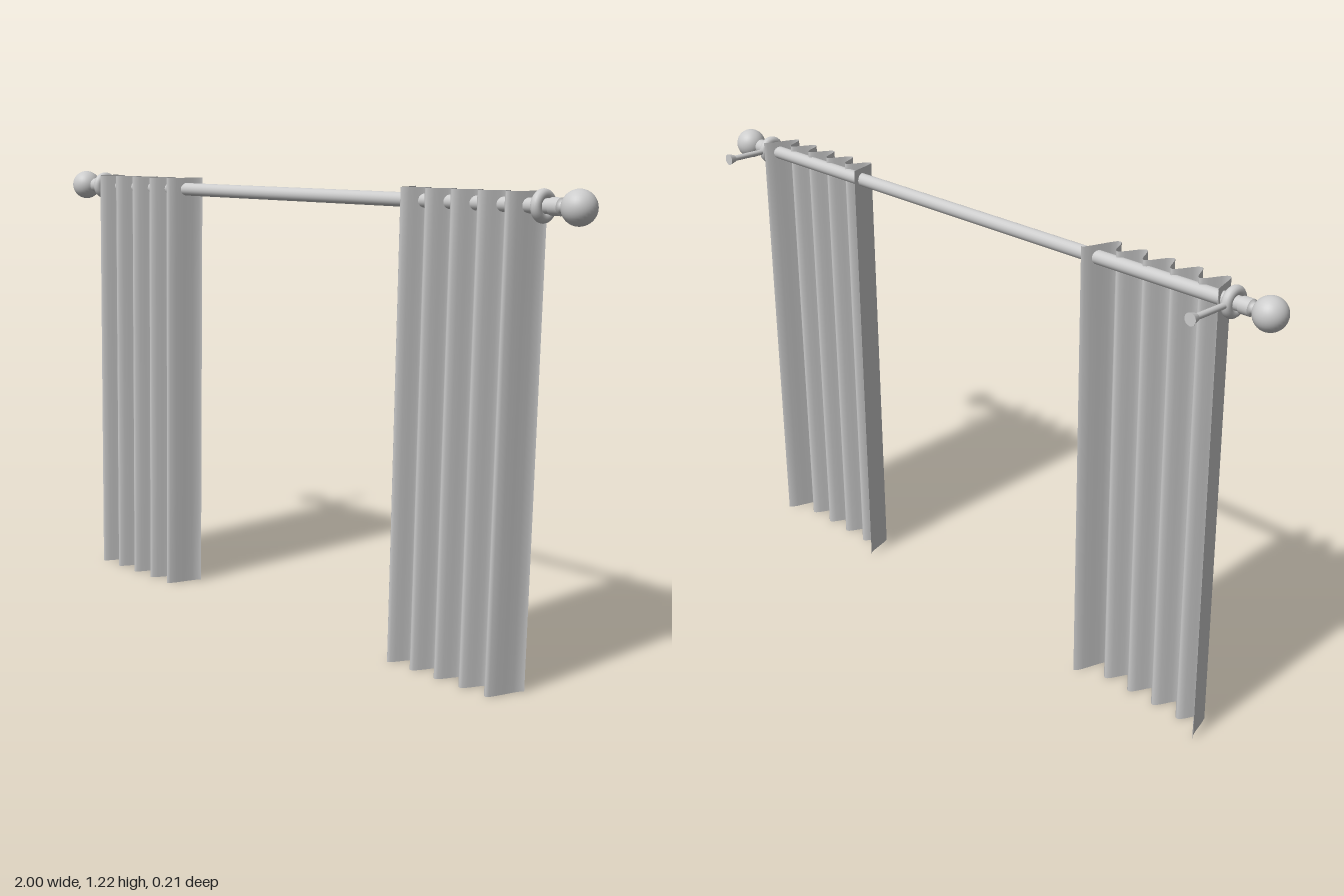
import * as THREE from 'three';

const ROD_Y = 1.18, ROD_Z = 0.05;
const PANEL_W = 0.415, PANEL_H = 1.213, FOLDS = 5, LEAN = 0.03;

const grey = new THREE.MeshStandardMaterial({ color: 0xcccccc });
const cloth = new THREE.MeshStandardMaterial({ color: 0xcccccc, side: THREE.DoubleSide });

function addMesh(parent, name, geometry, material = grey) {
  const mesh = new THREE.Mesh(geometry, material);
  mesh.name = name;
  parent.add(mesh);
  return mesh;
}

// Depth of the folds across the cloth; the two outer hems reach behind the rod
function foldDepth(u) {
  const t = u * FOLDS;
  const outer = t < 0.5 || t > FOLDS - 0.5;
  const back = outer ? 0.008 : 0.044;
  const front = 0.105;
  return back + (front - back) * (0.5 - 0.5 * Math.cos(t * Math.PI * 2));
}

// Pleated sheet that leans sideways towards its lower hem
function panelGeometry(x0) {
  const geo = new THREE.PlaneGeometry(1, 1, FOLDS * 12, 4);
  const p = geo.attributes.position;
  for (let i = 0; i < p.count; i++) {
    const u = p.getX(i) + 0.5, v = p.getY(i) + 0.5;
    p.setXYZ(i, x0 + u * PANEL_W - LEAN * (1 - v), v * PANEL_H, foldDepth(u));
  }
  geo.computeVertexNormals();
  return geo;
}

// Solid turned around the x axis from [radius, x] points
function turnedX(points) {
  const geo = new THREE.LatheGeometry(points.map(([r, x]) => new THREE.Vector2(r, x)), 24);
  return geo.rotateZ(-Math.PI / 2);
}

// Holder, collar and ball at one end of the rod
function rodEnd(side) {
  const end = new THREE.Group();
  end.name = side > 0 ? 'leftRodEnd' : 'rightRodEnd';
  end.position.set(0, ROD_Y, ROD_Z);
  if (side < 0) end.rotation.y = Math.PI;

  addMesh(end, 'finialBall', new THREE.SphereGeometry(0.042, 32, 20)).position.x = 0.958;
  addMesh(end, 'finialCollar', turnedX([
    [0, 0.882], [0.021, 0.882], [0.021, 0.882], [0.021, 0.908], [0.021, 0.908],
    [0.014, 0.912], [0.013, 0.925],
  ]));

  const bracket = new THREE.Group();
  bracket.name = 'wallBracket';
  bracket.position.x = 0.857;
  bracket.rotation.y = side < 0 ? Math.PI : 0;
  end.add(bracket);
  const ring = addMesh(bracket, 'bracketRing', new THREE.TorusGeometry(0.027, 0.013, 14, 32));
  ring.rotation.y = Math.PI / 2;

  // Arm runs back to a flared foot against the wall
  const arm = addMesh(bracket, 'bracketArm', new THREE.CylinderGeometry(0.008, 0.008, 0.112, 16));
  arm.rotation.x = Math.PI / 2;
  arm.position.z = -0.084;
  const foot = addMesh(bracket, 'bracketFoot', new THREE.CylinderGeometry(0.01, 0.016, 0.02, 16));
  foot.rotation.x = Math.PI / 2;
  foot.position.z = -0.145;
  return end;
}

export function createModel() {
  const model = new THREE.Group();
  model.name = 'curtainSet';

  const rod = addMesh(model, 'rod', new THREE.CylinderGeometry(0.018, 0.018, 1.78, 24));
  rod.rotation.z = Math.PI / 2;
  rod.position.set(0, ROD_Y, ROD_Z);

  model.add(rodEnd(1), rodEnd(-1));

  addMesh(model, 'rightCurtain', panelGeometry(-0.845), cloth);
  addMesh(model, 'leftCurtain', panelGeometry(0.42), cloth);
  return model;
}
